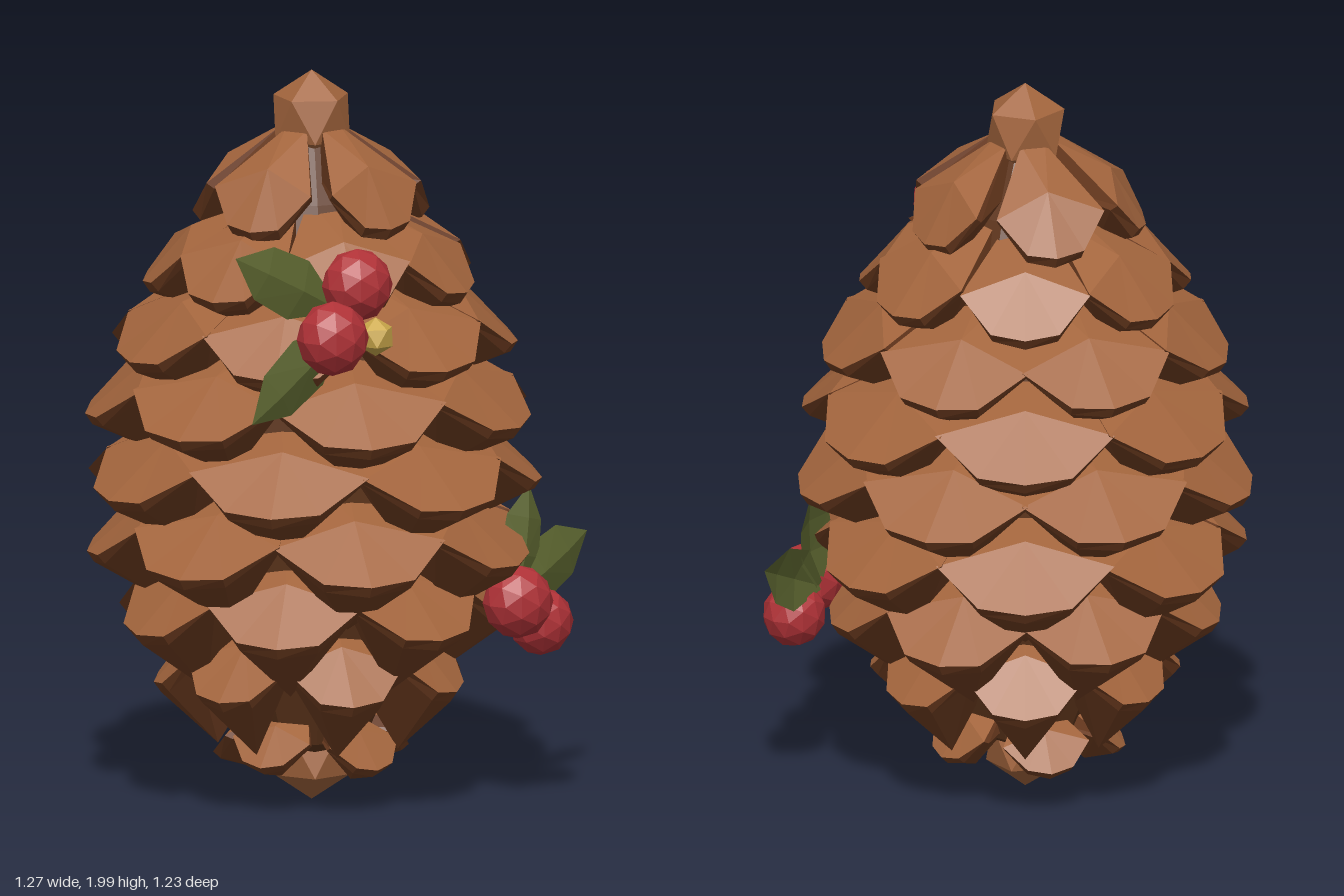
import * as THREE from 'three';

const flat = (color, side = THREE.FrontSide) => {
  const m = new THREE.MeshStandardMaterial({ color, side });
  m.flatShading = true;
  return m;
};

// small seeded variation in -1..1
function makeRandom(seed) {
  return () => {
    seed = (seed * 16807) % 2147483647;
    return (seed / 2147483647) * 2 - 1;
  };
}

function triangles(list) {
  const g = new THREE.BufferGeometry();
  g.setAttribute('position', new THREE.Float32BufferAttribute(list.flat(2), 3));
  g.computeVertexNormals();
  return g;
}

// One woody scale pointing to +z: domed top, thin lip, deep keel underneath
function scaleGeometry(R, Y, half, rise, drop) {
  const side = [
    [0.53 * half, Y, 0.97 * R],
    [half, Y + 0.085 * rise, 0.8 * R],
    [0.22 * half, Y + 0.22 * rise, 0.25 * R],
  ];
  const mirrored = side.map(([x, y, z]) => [-x, y, z]).reverse();
  const rim = [[0, Y - 0.012, R + 0.005], ...side, ...mirrored];
  const lips = [0.03, 0.025, 0.015, 0.12, 0.12, 0.015, 0.025];
  const low = rim.map(([x, y, z], i) => [x * 0.95, y - lips[i] * rise, z - 0.02]);
  const crest = [0, Y + 0.14 * rise, 0.72 * R];
  const keel = [0, Y - drop, 0.6 * R];
  const top = [], under = [];
  rim.forEach((p, i) => {
    const j = (i + 1) % rim.length;
    top.push([crest, p, rim[j]]);
    under.push([low[i], low[j], rim[j]], [low[i], rim[j], p], [keel, low[j], low[i]]);
  });
  const g = triangles([...top, ...under]);
  g.addGroup(0, top.length * 3, 0);
  g.addGroup(top.length * 3, under.length * 3, 1);
  return g;
}

// Folded leaf blade from base to tip, with the midrib raised to the front
function leafGeometry(base, tip, width) {
  const a = new THREE.Vector3(...base), b = new THREE.Vector3(...tip);
  const dir = b.clone().sub(a).normalize();
  const front = new THREE.Vector3(0, 0, 1);
  const side = front.clone().cross(dir).normalize();
  const at = (t, w, f) => a.clone().lerp(b, t).addScaledVector(side, w * width)
    .addScaledVector(front, f).toArray();
  const mid = [at(0, 0, 0), at(0.4, 0, 0.02), at(0.72, 0, 0.015), at(1, 0, 0)];
  const tris = [];
  for (const s of [1, -1]) {
    const edge = [mid[0], at(0.4, s * 0.5, -0.005), at(0.72, s * 0.45, -0.005), mid[3]];
    for (let i = 0; i < 3; i++) {
      const quad = [[mid[i], mid[i + 1], edge[i + 1]], [mid[i], edge[i + 1], edge[i]]];
      tris.push(...quad.map(([p, q, r]) => (s > 0 ? [p, r, q] : [p, q, r])));
    }
  }
  return triangles(tris);
}

// Icosahedron standing on a corner
function uprightIcosahedron(radius) {
  const g = new THREE.IcosahedronGeometry(radius, 0);
  return g.rotateX(-Math.atan((1 + Math.sqrt(5)) / 2));
}

export function createModel() {
  const model = new THREE.Group();
  const mats = {
    scaleBrown: flat(0xa3653d),
    underBrown: flat(0x713e21),
    coreBrown: flat(0x5f361c),
    berryRed: flat(0xb03237),
    leafGreen: flat(0x5b642f, THREE.DoubleSide),
    budGold: flat(0xcca94b),
  };
  for (const [name, m] of Object.entries(mats)) m.name = name;

  const add = (parent, name, geometry, material, pos = [0, 0, 0]) => {
    const mesh = new THREE.Mesh(geometry, material);
    mesh.name = name;
    mesh.position.set(...pos);
    parent.add(mesh);
    return mesh;
  };

  const cone = new THREE.Group();
  cone.name = 'cone';
  cone.position.x = -0.03;
  model.add(cone);

  // Rings of scales: tip height, tip radius, count, half width, top rise, keel drop
  const rings = [
    [0.14, 0.265, 5, 0.12, 0.65, 0.05], [0.34, 0.42, 7, 0.165, 0.95, 0.18],
    [0.52, 0.53, 7, 0.212, 1, 0.18], [0.7, 0.6, 7, 0.24, 1, 0.17],
    [0.89, 0.615, 7, 0.246, 1, 0.15], [1.08, 0.605, 7, 0.242, 1, 0.14],
    [1.26, 0.55, 7, 0.22, 1, 0.12], [1.44, 0.45, 7, 0.175, 1, 0.1],
    [1.62, 0.32, 5, 0.15, 1.05, 0.07],
  ];
  const random = makeRandom(7);
  rings.forEach(([y, R, n, half, rise, drop], k) => {
    const ring = new THREE.Group();
    ring.name = `scaleRing${k + 1}`;
    const geometry = scaleGeometry(R, y, half, rise, drop);
    for (let i = 0; i < n; i++) {
      const scale = add(ring, 'scale', geometry, [mats.scaleBrown, mats.underBrown]);
      scale.position.y = 0.008 * random();
      scale.rotation.y = ((i + (k % 2) / 2) / n) * Math.PI * 2;
    }
    cone.add(ring);
  });

  // Core behind the scales
  const profile = [[0, 0.1], ...rings.map(([y, R]) => [R * 0.56, y + 0.04]), [0.06, 1.84], [0, 1.87]];
  add(cone, 'core', new THREE.LatheGeometry(profile.map(p => new THREE.Vector2(...p)), 10), mats.coreBrown);

  // Faceted caps at the two ends
  const cap = uprightIcosahedron(0.118).scale(1, 1.1, 1);
  add(cone, 'topCap', cap, mats.scaleBrown, [0, 1.87, 0]);
  add(cone, 'bottomCap', cap, mats.scaleBrown, [0, 0.135, 0]);

  // Two sprigs of berries and leaves
  const sprigs = [
    {
      name: 'upperSprig',
      berries: [[-0.27, 1.505, 0.46, 0.1], [-0.375, 1.375, 0.48, 0.102]],
      leaves: [[[-0.29, 1.43, 0.42], [-0.63, 1.61, 0.375], 0.17], [[-0.27, 1.4, 0.42], [-0.58, 1.15, 0.385], 0.17]],
    },
    {
      name: 'lowerSprig',
      berries: [[0.278, 0.575, 0.49, 0.1], [0.382, 0.505, 0.465, 0.092]],
      leaves: [[[0.31, 0.57, 0.42], [0.63, 0.71, 0.37], 0.17], [[0.33, 0.56, 0.42], [0.41, 0.865, 0.385], 0.14]],
    },
  ];
  for (const { name, berries, leaves } of sprigs) {
    const sprig = new THREE.Group();
    sprig.name = name;
    for (const [x, y, z, r] of berries) {
      add(sprig, 'berry', new THREE.IcosahedronGeometry(r, 1), mats.berryRed, [x, y, z]).scale.z = 0.9;
    }
    for (const [base, tip, w] of leaves) add(sprig, 'leaf', leafGeometry(base, tip, w), mats.leafGreen);
    model.add(sprig);
  }
  add(model, 'bud', uprightIcosahedron(0.053), mats.budGold, [-0.235, 1.365, 0.495]);

  return model;
}
